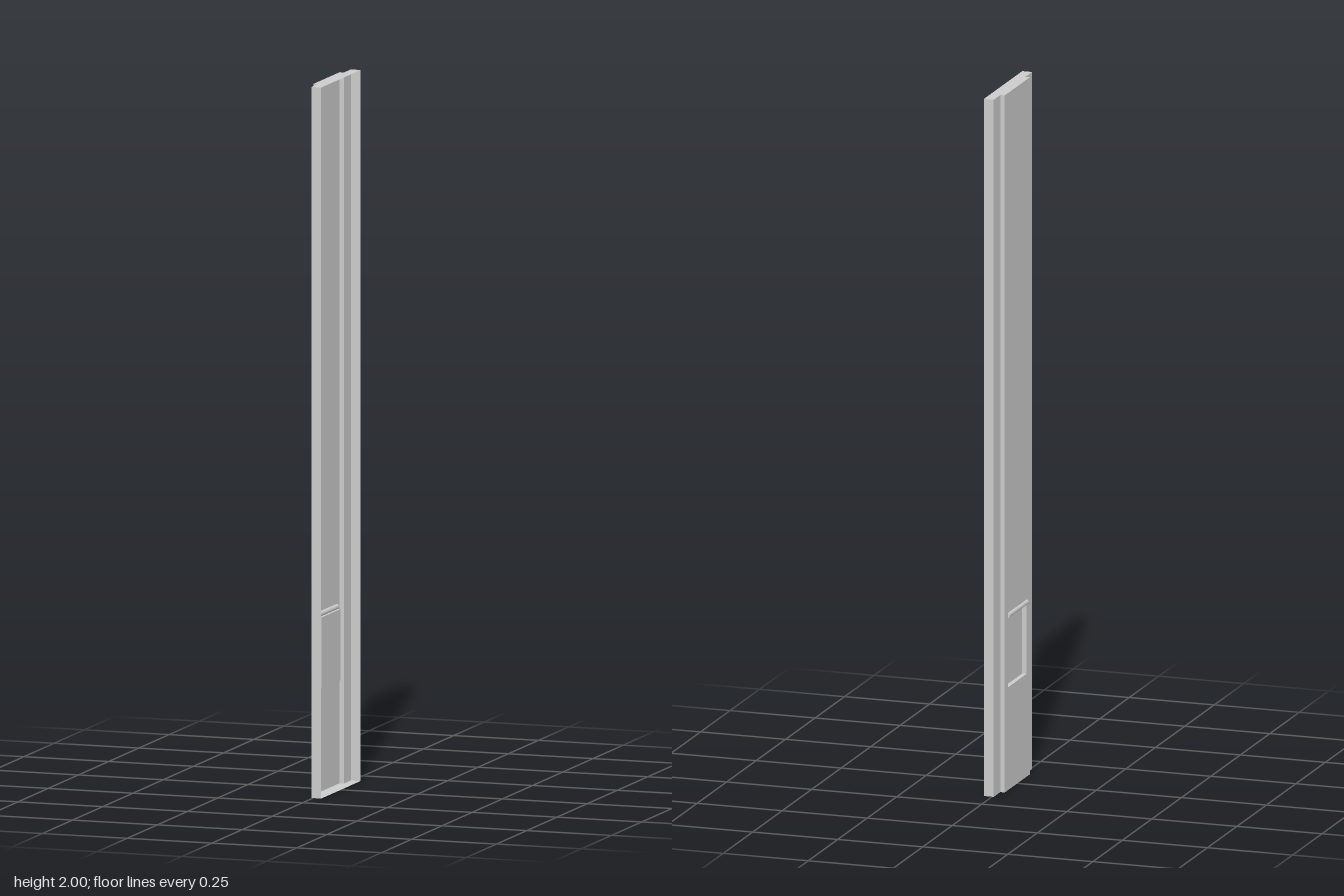
import * as THREE from 'three';

const H = 2;
const RIM = 0.024, FLANGE = -0.005, PANEL = -0.018; // x of each level
const HALF = 0.163, STEP = 0.107; // half widths in z

export function createModel() {
  const model = new THREE.Group();
  const mat = new THREE.MeshStandardMaterial({ color: 0xcccccc, side: THREE.DoubleSide });

  const add = (name, geometry, x = 0, y = 0, z = 0) => {
    const mesh = new THREE.Mesh(geometry, mat);
    mesh.name = name;
    mesh.position.set(x, y, z);
    model.add(mesh);
    return mesh;
  };
  // Sheet facing along x, w wide in z
  const sheetX = (w, h) => new THREE.PlaneGeometry(w, h).rotateY(-Math.PI / 2);
  const rectPath = (path, z0, z1, y0, y1) => {
    path.moveTo(z0, y0);
    path.lineTo(z1, y0);
    path.lineTo(z1, y1);
    path.lineTo(z0, y1);
    path.closePath();
    return path;
  };

  // Flap pocket extents
  const fz = 0.078, fy0 = 0.295, fy1 = 0.495, fx = -0.005;

  // Main panel with the pocket opening
  const panel = rectPath(new THREE.Shape(), -STEP, STEP, 0, H);
  panel.holes.push(rectPath(new THREE.Path(), -fz, fz, fy0, fy1));
  add('panel', new THREE.ShapeGeometry(panel).rotateY(-Math.PI / 2), PANEL);

  // Steps, flanges and rims on both long edges
  for (const s of [1, -1]) {
    add('step', new THREE.PlaneGeometry(FLANGE - PANEL, H), (FLANGE + PANEL) / 2, H / 2, s * STEP);
    add('flange', sheetX(HALF - STEP, H), FLANGE, H / 2, s * (HALF + STEP) / 2);
    add('rim', new THREE.PlaneGeometry(RIM - FLANGE, H), (RIM + FLANGE) / 2, H / 2, s * HALF);
  }

  // Stepped end caps
  const cap = new THREE.Shape([
    [RIM, -HALF], [RIM, HALF], [FLANGE, HALF], [FLANGE, STEP],
    [PANEL, STEP], [PANEL, -STEP], [FLANGE, -STEP], [FLANGE, -HALF],
  ].map(([x, z]) => new THREE.Vector2(x, z)));
  for (const [name, y] of [['bottomCap', 0], ['topCap', H]]) {
    add(name, new THREE.ShapeGeometry(cap).rotateX(Math.PI / 2), 0, y);
  }

  // Flap set into the panel, with its four side walls
  const depth = fx - PANEL, fx0 = (fx + PANEL) / 2, fyc = (fy0 + fy1) / 2;
  add('flap', sheetX(2 * fz, fy1 - fy0), fx, fyc);
  for (const s of [1, -1]) {
    add('flapSide', new THREE.PlaneGeometry(depth, fy1 - fy0), fx0, fyc, s * fz);
  }
  for (const y of [fy0, fy1]) {
    add('flapEdge', new THREE.PlaneGeometry(depth, 2 * fz).rotateX(-Math.PI / 2), fx0, y);
  }

  // Hinge rod along the top of the flap
  add('hingeRod', new THREE.CylinderGeometry(0.0075, 0.0075, 0.162, 16).rotateX(Math.PI / 2), -0.0168, 0.501);

  return model;
}
